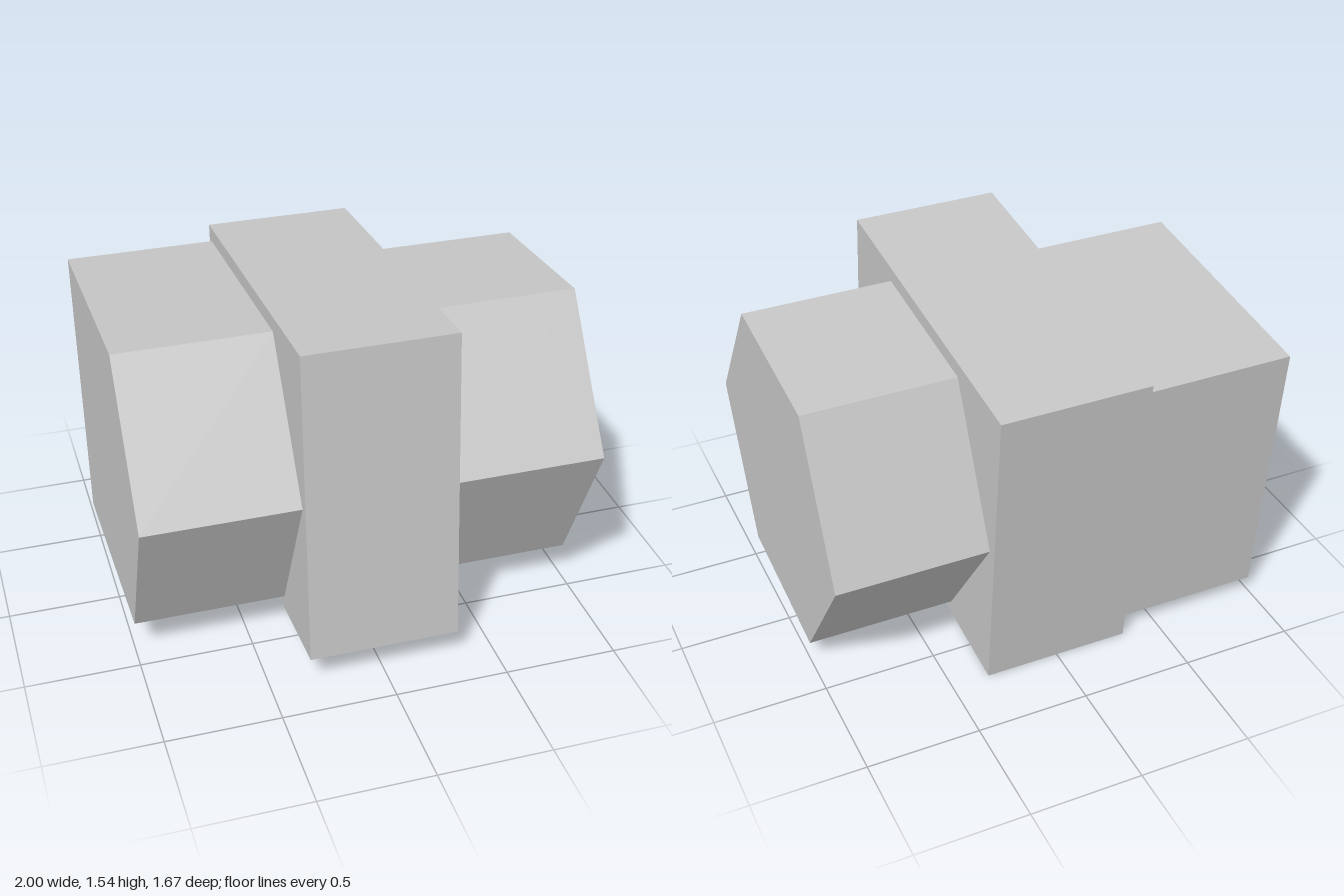
import * as THREE from 'three';

const grey = new THREE.MeshStandardMaterial({ color: 0xc6c6c6 });
grey.name = 'light grey';

// Prism running along x, from a [z, y] outline
function prism(name, outline, x0, x1) {
  const shape = new THREE.Shape(outline.map(([z, y]) => new THREE.Vector2(-z, y)));
  const geo = new THREE.ExtrudeGeometry(shape, { depth: x1 - x0, bevelEnabled: false });
  geo.rotateY(Math.PI / 2).translate(x0, 0, 0);
  const mesh = new THREE.Mesh(geo, grey);
  mesh.name = name;
  return mesh;
}

export function createModel() {
  const model = new THREE.Group();
  model.name = 'tiltedBlock';

  // Front edges shared by both end prisms
  const frontEdges = [[0.42, 0.165], [0.73, 0.835], [0.31, 1.435]];

  // Central rectangular slab, leaning by about five degrees
  model.add(prism('centreSlab',
    [[0.835, 0.135], [0.715, 1.537], [-0.835, 1.402], [-0.715, 0]], -0.33, 0.33));

  // Hexagonal end
  model.add(prism('hexagonalEnd',
    [...frontEdges, [-0.417, 1.372], [-0.73, 0.705], [-0.307, 0.102]], 0.33, 1));

  // Five-sided end with a flat back
  model.add(prism('flatBackedEnd',
    [...frontEdges, [-0.79, 1.339], [-0.679, 0.07]], -1, -0.33));

  return model;
}
